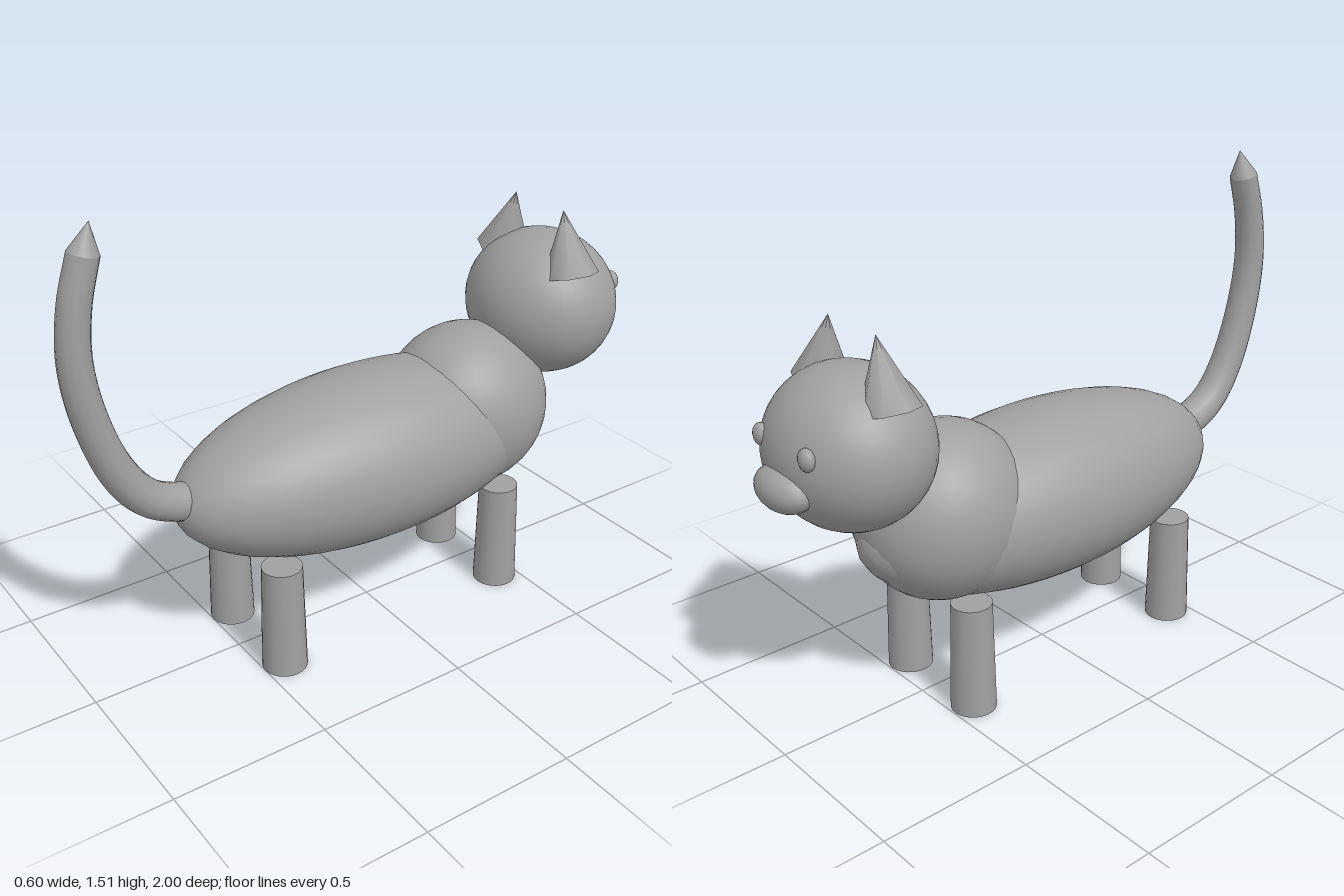
import * as THREE from 'three';

export function createModel() {
  const cat = new THREE.Group();
  cat.name = 'cat';
  const grey = new THREE.MeshStandardMaterial({ color: 0xa0a0a0 });
  grey.name = 'grey';

  function add(name, geometry, x = 0, y = 0, z = 0) {
    const mesh = new THREE.Mesh(geometry, grey);
    mesh.name = name;
    mesh.position.set(x, y, z);
    cat.add(mesh);
    return mesh;
  }
  const ellipsoid = (rx, ry, rz, seg = 40) =>
    new THREE.SphereGeometry(1, seg, seg / 2).scale(rx, ry, rz);

  // Trunk and head, facing -z
  add('body', ellipsoid(0.3, 0.277, 0.69), 0, 0.557, 0);
  add('chest', ellipsoid(0.26, 0.28, 0.283), 0, 0.61, -0.4);
  add('head', ellipsoid(0.267, 0.243, 0.241), 0, 0.909, -0.713);
  add('muzzle', ellipsoid(0.112, 0.067, 0.072, 24), 0, 0.845, -0.928);

  // Paired parts
  for (const [side, s] of [['left', 1], ['right', -1]]) {
    add(side + 'Eye', ellipsoid(0.03, 0.034, 0.022, 16), s * 0.115, 0.965, -0.922);

    // Ears lean inward
    const ear = add(side + 'Ear', new THREE.ConeGeometry(0.09, 0.21, 8), s * 0.141, 1.158, -0.685);
    ear.rotation.z = s * 0.258;

    for (const [end, z] of [['front', -0.424], ['back', 0.428]]) {
      add(`${end}${side === 'left' ? 'Left' : 'Right'}Leg`,
        new THREE.CylinderGeometry(0.064, 0.072, 0.365, 24), s * 0.164, 0.1825, z);
    }
  }

  // Tail: a curved tube narrowing toward its end
  const path = new THREE.CatmullRomCurve3([
    [0.59, 0.585], [0.66, 0.592], [0.77, 0.642], [0.855, 0.75], [0.925, 0.94],
    [0.953, 1.125], [0.938, 1.285], [0.898, 1.427],
  ].map(([z, y]) => new THREE.Vector3(0, y, z)));
  const rings = 40, sides = 16;
  const tail = new THREE.TubeGeometry(path, rings, 0.06, sides);
  const pos = tail.attributes.position, v = new THREE.Vector3();
  for (let i = 0; i < pos.count; i++) {
    const u = Math.floor(i / (sides + 1)) / rings;
    const centre = path.getPointAt(u);
    v.fromBufferAttribute(pos, i).sub(centre).multiplyScalar(1 - 0.24 * u).add(centre);
    pos.setXYZ(i, v.x, v.y, v.z);
  }
  add('tail', tail);

  // Pointed tail end
  const tip = add('tailTip', new THREE.ConeGeometry(0.0456, 0.088, sides).translate(0, 0.044, 0), 0, 1.427, 0.898);
  tip.quaternion.setFromUnitVectors(new THREE.Vector3(0, 1, 0), path.getTangentAt(1));

  return cat;
}
